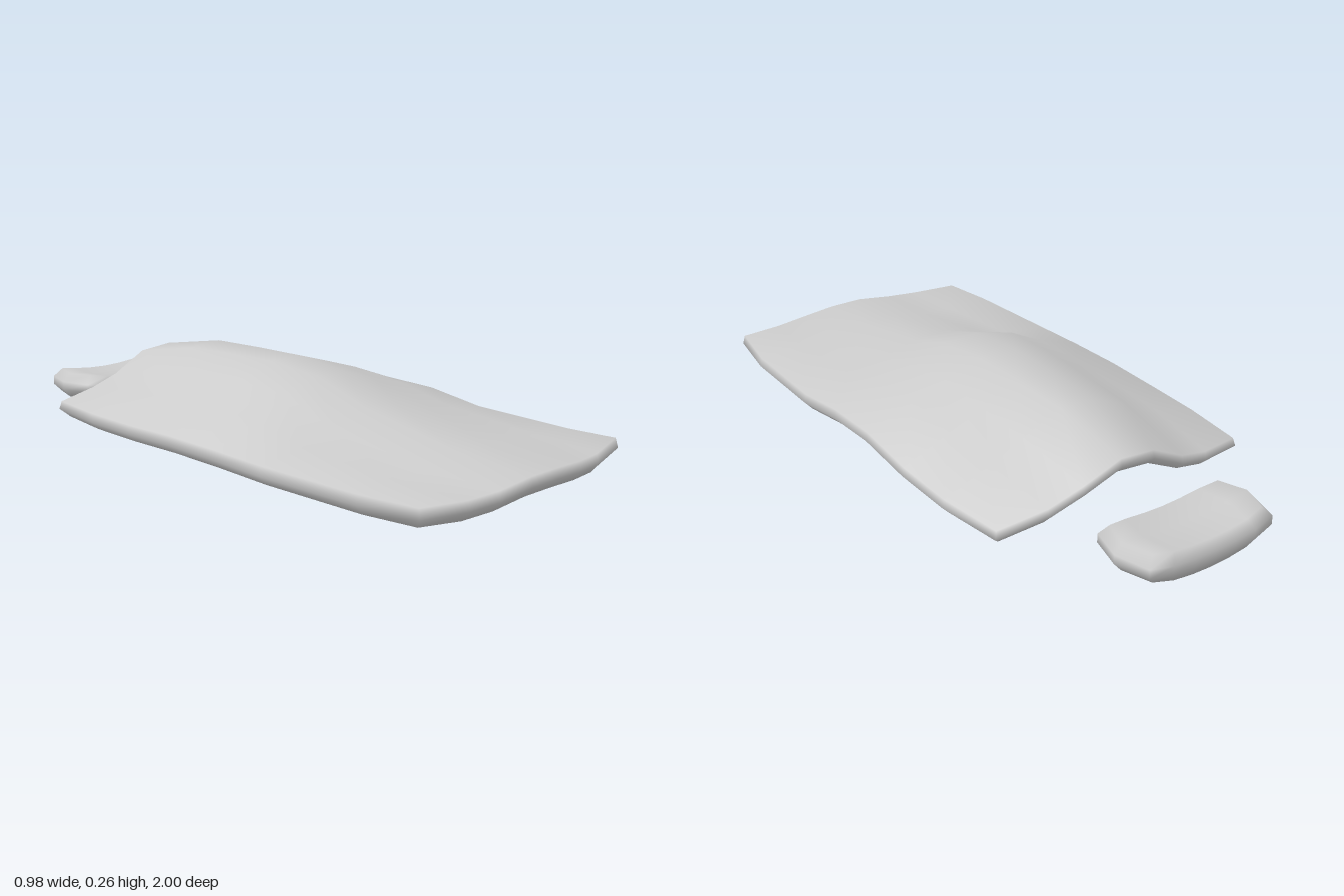
import * as THREE from 'three';
import { mergeVertices } from 'three/addons/utils/BufferGeometryUtils.js';

// Closed box lattice whose vertices are moved by a rule, with smooth normals.
// The rule gets normalised coordinates from -1 to 1.
function shapedBox(name, segments, rule) {
  let geo = new THREE.BoxGeometry(2, 2, 2, ...segments);
  geo.deleteAttribute('normal');
  geo.deleteAttribute('uv');
  geo = mergeVertices(geo, 1e-4);
  const pos = geo.attributes.position;
  for (let n = 0; n < pos.count; n++) {
    pos.setXYZ(n, ...rule(pos.getX(n), pos.getY(n), pos.getZ(n)));
  }
  geo.computeVertexNormals();
  const mesh = new THREE.Mesh(geo, new THREE.MeshStandardMaterial({ color: 0xcccccc }));
  mesh.name = name;
  return mesh;
}

// Top heights of the draped blanket: rows run from back to front, columns from -x to +x
const COLS = [-0.49, -0.32, -0.2, -0.065, 0.065, 0.2, 0.32, 0.49];
const ROWS = [-0.68, -0.4, -0.2, 0, 0.2, 0.4, 0.75, 1];
const HEIGHTS = [
  [0.086, 0.105, 0.135, 0.198, 0.21, 0.16, 0.118, 0.086],
  [0.085, 0.135, 0.188, 0.246, 0.255, 0.197, 0.145, 0.088],
  [0.086, 0.14, 0.203, 0.254, 0.258, 0.21, 0.163, 0.1],
  [0.09, 0.148, 0.213, 0.258, 0.258, 0.22, 0.185, 0.127],
  [0.087, 0.145, 0.205, 0.24, 0.235, 0.195, 0.165, 0.12],
  [0.08, 0.10, 0.135, 0.175, 0.172, 0.145, 0.12, 0.09],
  [0.075, 0.075, 0.085, 0.11, 0.11, 0.1, 0.09, 0.082],
  [0.075, 0.07, 0.075, 0.09, 0.09, 0.083, 0.08, 0.092],
];

function blanketPoint(u, v, w) {
  const i = Math.round((u + 1) * 3.5);
  const j = Math.round((w + 1) * 3.5);
  const side = Math.abs(u) > 0.99 ? Math.sign(u) : 0;
  const end = Math.abs(w) > 0.99 ? Math.sign(w) : 0;
  // rounded rim: full at mid height, tucked in further underneath
  const tuck = v > 0.5 ? 0.006 : v < -0.5 ? 0.026 : 0;
  // barrel-shaped sides and bowed ends
  const narrow = 1 - 0.08 * Math.pow(Math.abs(ROWS[j] - 0.16) / 0.84, 3);
  const x = COLS[i] * narrow - side * tuck;
  const bow = 0.06 * Math.pow(COLS[i] / 0.49, 2);
  const z = ROWS[j] - end * (bow + tuck);
  // slightly thinner towards the back
  const thickness = 0.056 + 0.004 * w;
  const y = HEIGHTS[j][i] - 0.5 * thickness * (1 - v);
  return [x, y, z];
}

// Sagging pillow with lifted, pinched ends
function pillowPoint(u, v, w) {
  const rim = Math.abs(v) > 0.99 ? 1 : 0;
  const tuck = v > 0 ? 0.02 : 0.015;
  const x = u * (0.255 - 0.025 * rim - 0.03 * w * w);
  const z = -0.882 + w * (0.118 - tuck * rim - 0.012 * Math.pow(u, 6));
  const lift = 0.022 * u * u;
  const y = 0.045 + lift + 0.045 * v * (1 - 0.05 * Math.pow(u, 4));
  return [x, y, z];
}

export function createModel() {
  const group = new THREE.Group();
  group.name = 'bedding';
  group.add(shapedBox('blanket', [7, 2, 7], blanketPoint));
  group.add(shapedBox('pillow', [6, 3, 2], pillowPoint));
  return group;
}
